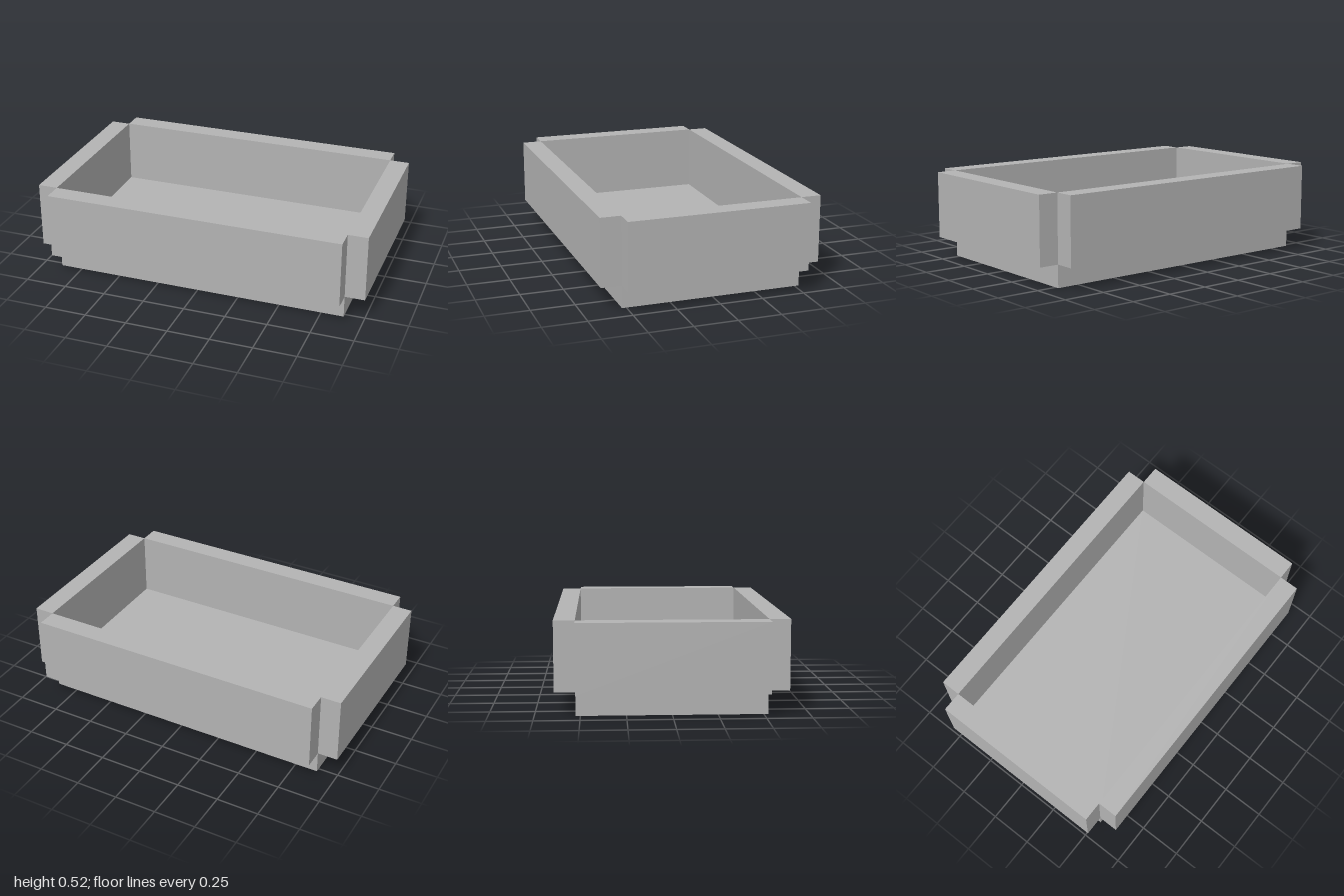
import * as THREE from 'three';

const HALF_X = 0.8825;   // inner half width
const HALF_Z = 0.525;    // inner half depth
const WALL = 0.1175;     // wall thickness
const FLOOR = 0.13;      // base slab height
const TOP = 0.522;       // rim height

export function createModel() {
  const group = new THREE.Group();
  group.name = 'openTray';
  const grey = new THREE.MeshStandardMaterial({ color: 0xb3b3b3 });
  grey.name = 'plain grey';

  const addBox = (name, w, h, d, x, y, z) => {
    const mesh = new THREE.Mesh(new THREE.BoxGeometry(w, h, d), grey);
    mesh.name = name;
    mesh.position.set(x, y, z);
    group.add(mesh);
  };

  // Base slab
  addBox('base', HALF_X * 2, FLOOR, HALF_Z * 2, 0, FLOOR / 2, 0);

  // Four walls standing just outside the slab, leaving open corner notches
  const h = TOP - FLOOR;
  const y = FLOOR + h / 2;
  for (const s of [1, -1]) {
    addBox(s > 0 ? 'leftWall' : 'rightWall', WALL, h, HALF_Z * 2, s * (HALF_X + WALL / 2), y, 0);
    addBox(s > 0 ? 'frontWall' : 'backWall', HALF_X * 2, h, WALL, 0, y, s * (HALF_Z + WALL / 2));
  }
  return group;
}
